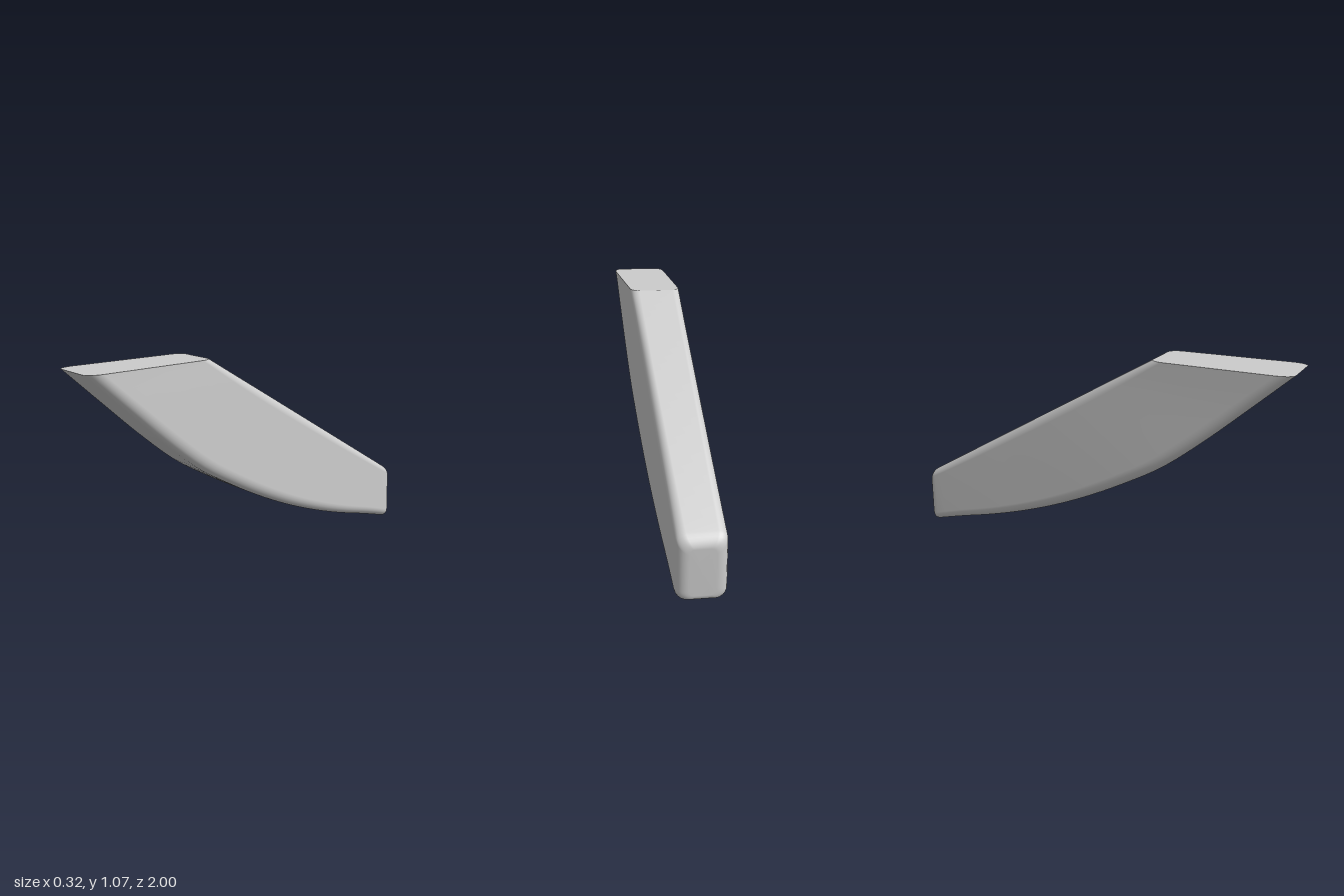
import * as THREE from 'three';

const CORNER = 7;   // segments per rounded corner
const END = 0.055;  // rounding radius of the blunt back end

const { lerp } = THREE.MathUtils;
const curve = (pts) => new THREE.SplineCurve(pts.map(([a, b]) => new THREE.Vector2(a, b)));

// Height of the curved underside at evenly spaced z from -1 to 1
const underside = curve([-0.01, 0.046, 0.098, 0.16, 0.235, 0.325, 0.43, 0.55, 0.71, 0.888, 1.07]
  .map((y, i) => [-1 + i * 0.2, y]));
// Side edge of the underside at +t
const lowerRight = curve([[0, -0.165], [0.33, -0.164], [0.67, -0.156], [1, -0.118]]);

// One rounded cross-section, from the underside (v = 0) to the straight upper edge (v = 1)
function section(t, inset) {
  const low = underside.getPoint(t);
  const high = new THREE.Vector2(lerp(-1, 0.33, t), lerp(0.28, 1.07, t));
  const height = low.distanceTo(high);
  const left = [lowerRight.getPoint(t).y, lerp(-0.165, -0.137, t)];
  const right = [lerp(0.065, 0.165, t), lerp(0.057, 0.118, t)];
  const ru = 0.045 / (right[0] - left[0]);
  const rLow = lerp(0.045, 0.08, t) / height;
  const rHigh = lerp(0.035, 0.06, t) / height;
  const ring = [];
  const corners = [[1 - ru, rLow, rLow, -0.5], [1 - ru, 1 - rHigh, rHigh, 0], [ru, 1 - rHigh, rHigh, 0.5], [ru, rLow, rLow, 1]];
  for (const [cu, cv, rv, start] of corners) {
    for (let k = 0; k <= CORNER; k++) {
      const a = (start + 0.5 * k / CORNER) * Math.PI;
      let u = cu + ru * Math.cos(a);
      let v = cv + rv * Math.sin(a);
      // shrink towards the middle for the rounded back end
      u = 0.5 + (u - 0.5) * (1 - 2 * inset / (right[0] - left[0]));
      v = 0.5 + (v - 0.5) * (1 - 1.3 * inset / height);
      ring.push(new THREE.Vector3(
        lerp(lerp(left[0], left[1], v), lerp(right[0], right[1], v), u),
        lerp(low.y, high.y, v),
        lerp(low.x, high.x, v)));
    }
  }
  return ring;
}

function middle(ring) {
  return ring.reduce((sum, p) => sum.add(p), new THREE.Vector3()).divideScalar(ring.length);
}

function makeGeometry(points, index) {
  const geometry = new THREE.BufferGeometry().setFromPoints(points);
  geometry.setIndex(index);
  geometry.computeVertexNormals();
  return geometry;
}

export function createModel() {
  const model = new THREE.Group();
  model.name = 'curvedWedge';
  const grey = new THREE.MeshStandardMaterial({ name: 'lightGrey', color: 0xcccccc });

  // Sections: rounded back end first, then the long body
  const rings = [];
  for (let k = 0; k < 6; k++) {
    const a = (1 - k / 6) * Math.PI / 2;
    rings.push(section(END * (1 - Math.sin(a)) / 1.66, END * (1 - Math.cos(a))));
  }
  const t0 = END / 1.66;
  for (let k = 0; k <= 36; k++) rings.push(section(lerp(t0, 1, k / 36), 0));

  // Body skin with its back end
  const n = rings[0].length;
  const points = rings.flat();
  const index = [];
  for (let i = 0; i < rings.length - 1; i++) {
    for (let j = 0; j < n; j++) {
      const a = i * n + j, b = i * n + (j + 1) % n;
      index.push(a, b, b + n, a, b + n, a + n);
    }
  }
  points.push(middle(rings[0]));
  for (let j = 0; j < n; j++) index.push(points.length - 1, (j + 1) % n, j);
  const body = new THREE.Mesh(makeGeometry(points, index), grey);
  body.name = 'body';

  // Flat horizontal top face, with a crisp rim
  const rim = rings[rings.length - 1];
  const capIndex = [];
  for (let j = 0; j < n; j++) capIndex.push(n, j, (j + 1) % n);
  const top = new THREE.Mesh(makeGeometry([...rim, middle(rim)], capIndex), grey);
  top.name = 'topFace';

  model.add(body, top);
  return model;
}
